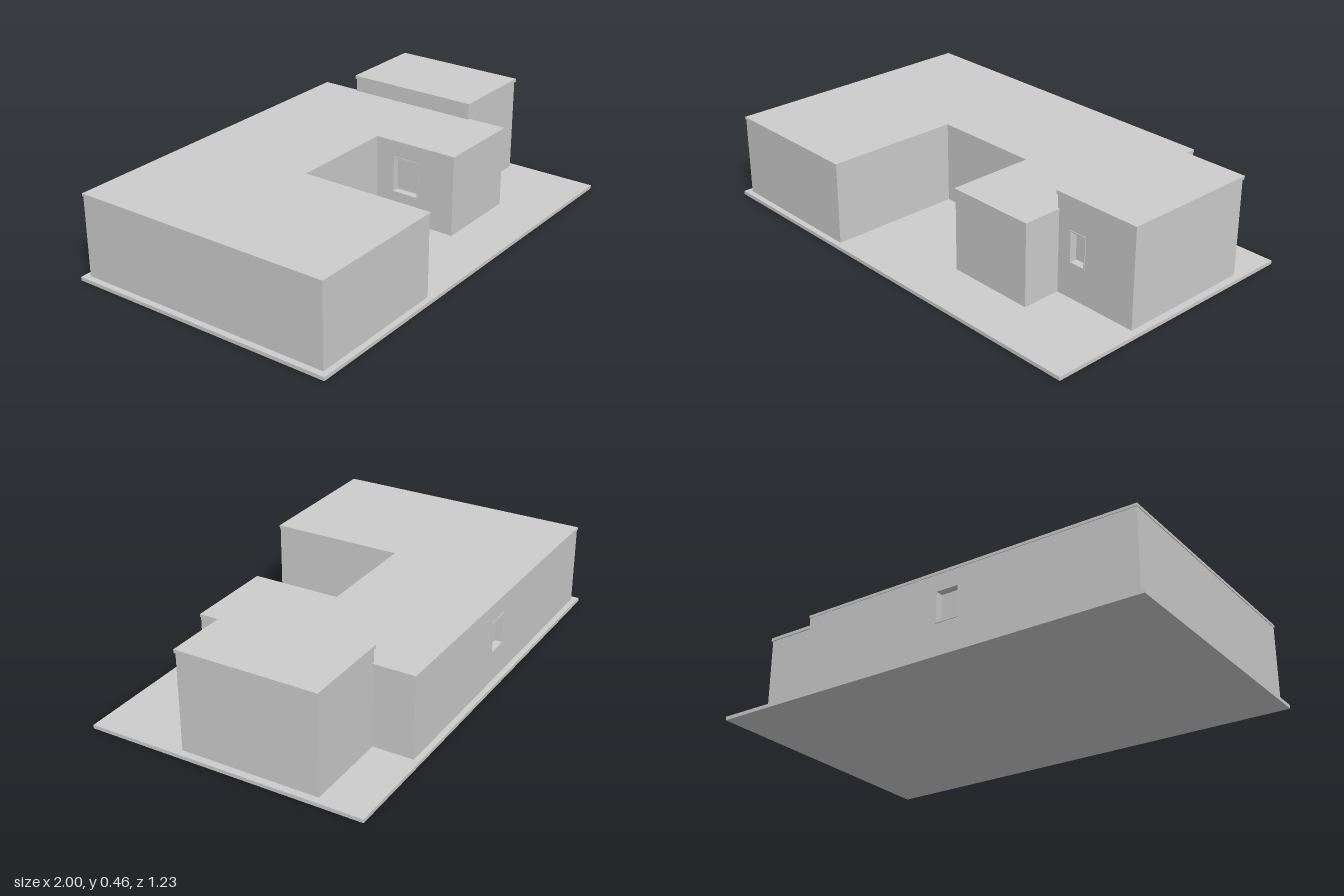
import * as THREE from 'three';

const BASE = 0.016, T = 0.03;

function rect(target, x0, y0, x1, y1) {
  target.moveTo(x0, y0).lineTo(x1, y0).lineTo(x1, y1).lineTo(x0, y1).closePath();
  return target;
}

export function createModel() {
  const grey = new THREE.MeshStandardMaterial({ color: 0xcccccc });
  grey.name = 'plain grey';
  const model = new THREE.Group();
  model.name = 'house';

  const add = (parent, geometry, name) => {
    const mesh = new THREE.Mesh(geometry, grey);
    mesh.name = name;
    parent.add(mesh);
    return mesh;
  };
  const extrude = (shape, depth) => new THREE.ExtrudeGeometry(shape, { depth, bevelEnabled: false });

  // A flat-roofed block: wall panels around a footprint of [x, z] corners, then a roof slab.
  // windows maps a wall number to [start, bottom, end, top] along that wall.
  function block(name, points, top, lip, roofThickness, windows) {
    const group = new THREE.Group();
    group.name = name;
    model.add(group);
    const n = points.length;
    const edges = points.map(([x, z], i) => {
      const [x2, z2] = points[(i + 1) % n];
      const length = Math.hypot(x2 - x, z2 - z);
      return { x, z, length, dx: (x2 - x) / length, dz: (z2 - z) / length };
    });

    edges.forEach((e, i) => {
      const prev = edges[(i + n - 1) % n];
      const convex = prev.dx * e.dz - prev.dz * e.dx < 0;
      const wall = new THREE.Group();
      wall.name = name + 'Wall' + i;
      wall.position.set(e.x, 0, e.z);
      wall.rotation.y = Math.atan2(-e.dz, e.dx);
      group.add(wall);
      const shape = rect(new THREE.Shape(), convex ? T : 0, BASE, e.length, top - roofThickness);
      const w = windows[i];
      if (w) {
        const [a, b, c, d] = w, f = 0.006;
        shape.holes.push(rect(new THREE.Path(), a, b, c, d));
        // Recessed pane and slim raised frame
        const pane = add(wall, new THREE.BoxGeometry(c - a + 0.02, d - b + 0.02, 0.006), 'windowPane');
        pane.position.set((a + c) / 2, (b + d) / 2, -T - 0.003);
        const frame = rect(new THREE.Shape(), a - f, b - f, c + f, d + f);
        frame.holes.push(rect(new THREE.Path(), a, b, c, d));
        add(wall, extrude(frame, 0.003), 'windowFrame');
      }
      add(wall, extrude(shape, T), 'wallPanel').position.z = -T;
    });

    // Roof slab, overhanging the walls slightly
    const outline = edges.map((e, i) => {
      const p = edges[(i + n - 1) % n];
      return new THREE.Vector2(e.x - lip * (e.dz + p.dz), -(e.z + lip * (e.dx + p.dx)));
    });
    const roof = add(group, extrude(new THREE.Shape(outline), roofThickness), name + 'Roof');
    roof.rotation.x = -Math.PI / 2;
    roof.position.y = top - roofThickness;
  }

  // Ground slab
  add(model, new THREE.BoxGeometry(2, BASE, 1.225), 'groundSlab').position.y = BASE / 2;

  // U-shaped house around the front courtyard
  block('mainHouse', [
    [-0.972, 0.587], [-0.313, 0.587], [-0.313, -0.012], [0.183, -0.012],
    [0.183, 0.377], [0.58, 0.377], [0.58, -0.587], [-0.972, -0.587],
  ], 0.38, 0.003, 0.012, {
    3: [0.09, 0.145, 0.21, 0.3],
    6: [0.665, 0.16, 0.765, 0.29],
  });

  // Taller block at the side
  block('sideBlock', [
    [0.572, 0.202], [0.968, 0.202], [0.968, -0.408], [0.572, -0.408],
  ], 0.455, 0.005, 0.015, { 0: [0.074, 0.175, 0.144, 0.305] });

  return model;
}
